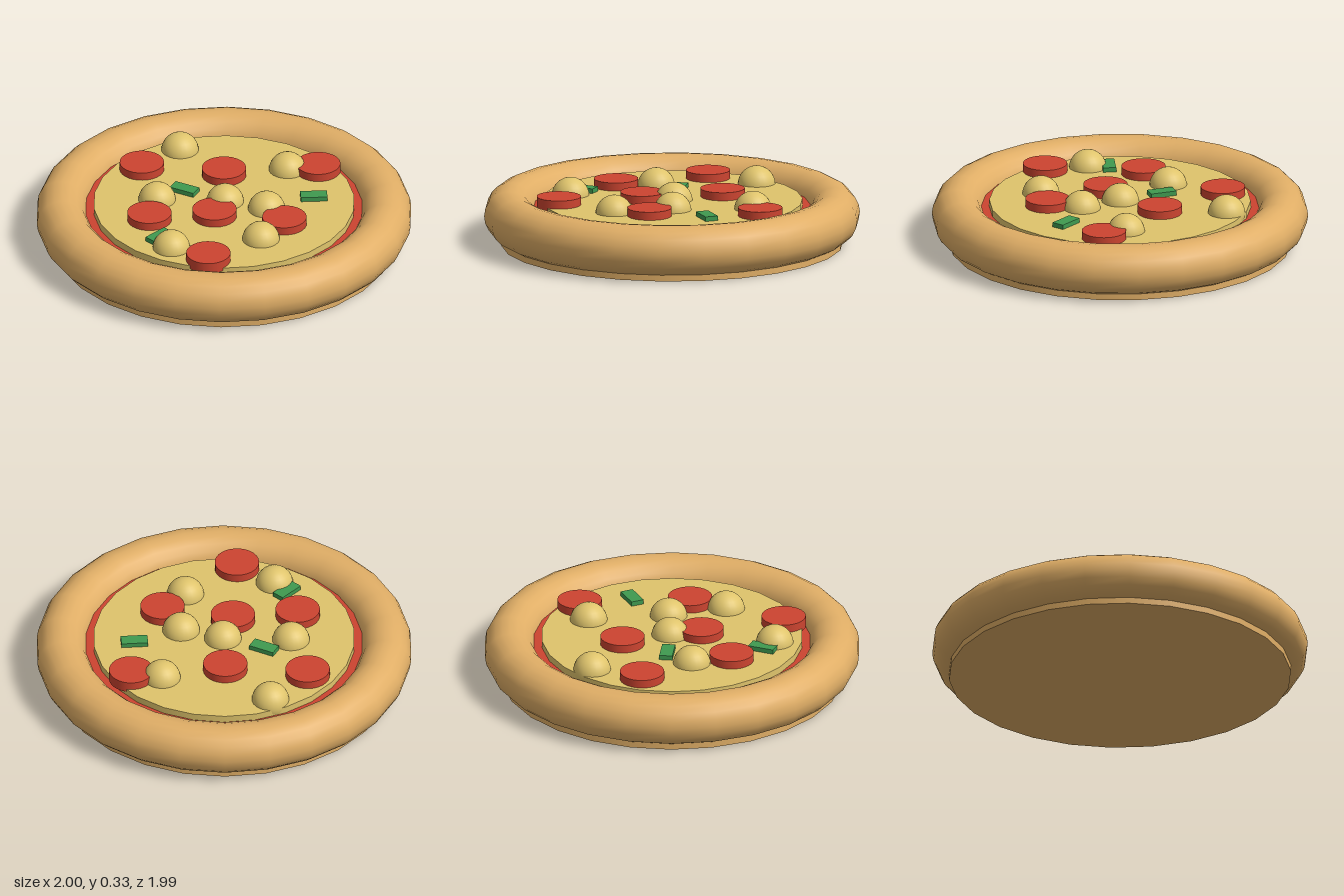
import * as THREE from 'three';

const mat = (name, color) => {
  const m = new THREE.MeshStandardMaterial({ color });
  m.name = name;
  return m;
};

export function createModel() {
  const pizza = new THREE.Group();
  pizza.name = 'pizza';
  const dough = mat('baked dough', 0xe0ae66);
  const cheese = mat('cheese', 0xdfc46c);
  const tomato = mat('tomato red', 0xcc4430);
  const green = mat('pepper green', 0x3f9a50);

  const add = (name, geometry, material, x, y, z, turn = 0) => {
    const mesh = new THREE.Mesh(geometry, material);
    mesh.name = name;
    mesh.position.set(x, y, z);
    mesh.rotation.y = turn;
    pizza.add(mesh);
  };
  // Disc given by its radius and its bottom and top heights
  const layer = (name, radius, bottom, top, material) =>
    add(name, new THREE.CylinderGeometry(radius, radius, top - bottom, 26), material, 0, (bottom + top) / 2, 0, Math.PI / 2);

  // Stacked layers inside the crust
  layer('base', 0.91, 0, 0.1, dough);
  layer('sauce', 0.77, 0.1, 0.2, tomato);
  layer('cheeseLayer', 0.695, 0.19, 0.238, cheese);

  // Rounded crust ring
  add('crust', new THREE.TorusGeometry(0.866, 0.134, 20, 26).rotateX(Math.PI / 2), dough, 0, 0.16, 0);

  // Salami slices
  const slice = new THREE.CylinderGeometry(0.118, 0.118, 0.06, 28);
  [[0.215, -0.56], [-0.165, -0.23], [-0.555, 0.025 - 0.05], [0.395, 0], [0.045, 0.15], [-0.215, 0.38], [0.285, 0.54]]
    .forEach(([x, z], i) => add(`salamiSlice${i + 1}`, slice, tomato, x, 0.252, z));

  // Cheese balls, half sunk into the cheese
  const ball = new THREE.SphereGeometry(0.1, 24, 16);
  [[-0.51, -0.31], [0.075, -0.475], [0, -0.01], [0.225, -0.075], [-0.305, 0.185], [0.385, 0.2], [0.05, 0.55]]
    .forEach(([x, z], i) => add(`cheeseBall${i + 1}`, ball, cheese, x, 0.233, z));

  // Green pepper strips
  const strip = new THREE.BoxGeometry(0.142, 0.04, 0.07);
  [[0.365, -0.31, 0.68], [-0.235, 0.033, 0.13], [-0.055, 0.512, 1.43]]
    .forEach(([x, z, turn], i) => add(`pepperStrip${i + 1}`, strip, green, x, 0.243, z, turn));

  return pizza;
}
